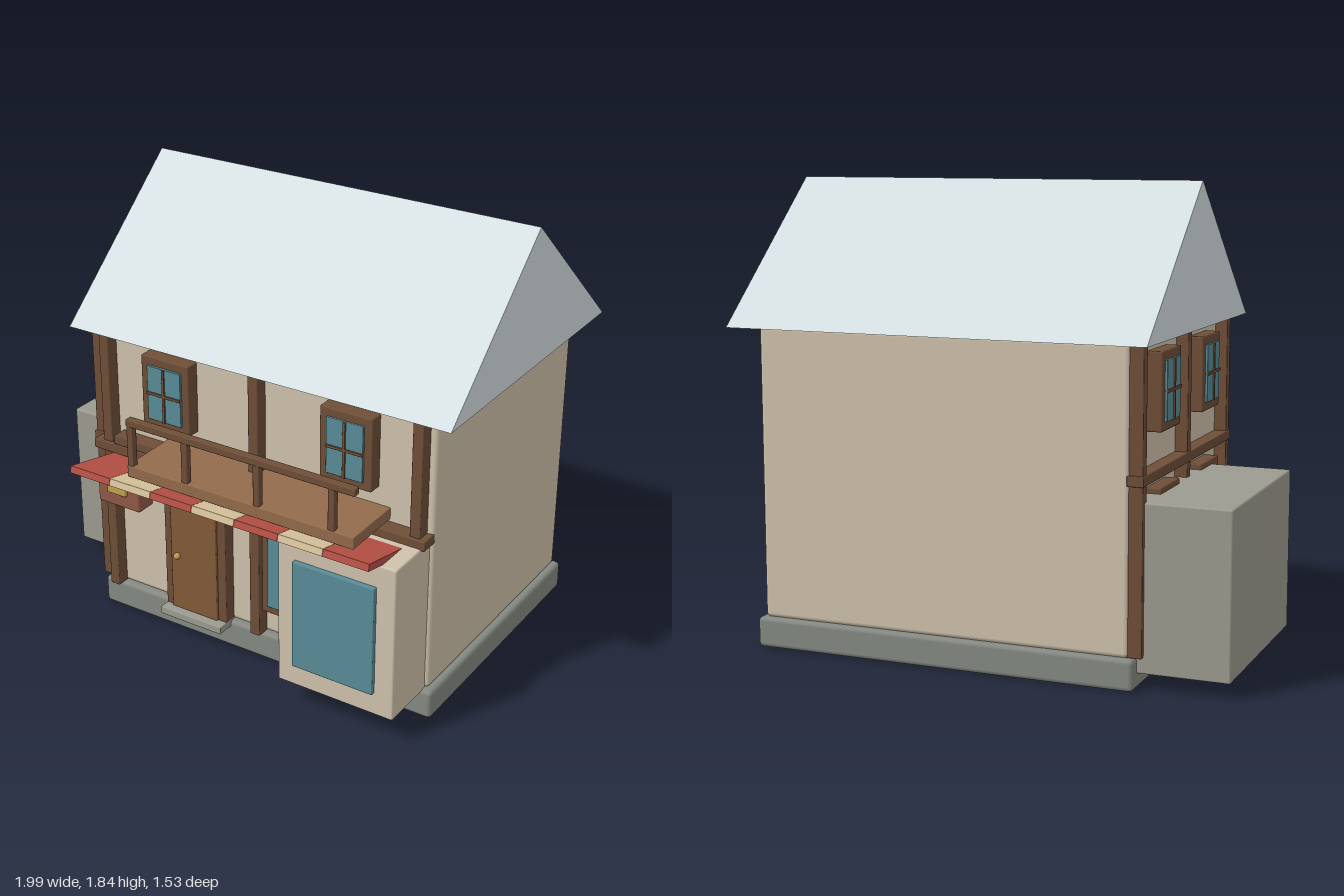
import * as THREE from 'three';
import { RoundedBoxGeometry } from 'three/addons/geometries/RoundedBoxGeometry.js';

const mat = (color) => new THREE.MeshStandardMaterial({ color });
const M = {
  wall: mat(0xcfc2ac), stone: mat(0x858982), block: mat(0x9b9b90), roof: mat(0xd6e0e2),
  timber: mat(0x6e4e38), deck: mat(0x936b4b), door: mat(0x825a38), glass: mat(0x588b97),
  red: mat(0xb75146), cream: mat(0xdac69f), sign: mat(0x8f5947), gold: mat(0xc2a052),
};

export function createModel() {
  const model = new THREE.Group();
  model.name = 'house';

  // box given by its limits on each axis, with softly rounded edges
  function box(name, material, [x0, x1], [y0, y1], [z0, z1], r = 0.004, parent = model) {
    const g = new RoundedBoxGeometry(x1 - x0, y1 - y0, z1 - z0, 2, r);
    const mesh = new THREE.Mesh(g, material);
    mesh.name = name;
    mesh.position.set((x0 + x1) / 2, (y0 + y1) / 2, (z0 + z1) / 2);
    parent.add(mesh);
    return mesh;
  }

  // framed window standing on a wall at local z = 0
  function framedWindow(name, w, h, bars) {
    const g = new THREE.Group();
    g.name = name;
    const gw = w / 2 - 0.033, gh = h / 2 - 0.035;
    box('windowFrame', M.timber, [-w / 2, w / 2], [-h / 2, h / 2], [-0.01, 0.057], 0.006, g);
    box('windowGlass', M.glass, [-gw, gw], [-gh, gh], [0.04, 0.067], 0.003, g);
    if (bars) {
      box('windowBar', M.timber, [-0.006, 0.006], [-gh, gh], [0.05, 0.073], 0.002, g);
      box('windowBar', M.timber, [-gw, gw], [-0.006, 0.006], [0.05, 0.073], 0.002, g);
    }
    model.add(g);
    return g;
  }

  // main masses
  box('foundation', M.stone, [-0.645, 0.925], [0, 0.122], [-0.70, 0.455], 0.018);
  box('walls', M.wall, [-0.62, 0.90], [0.12, 1.28], [-0.68, 0.43], 0.018);
  box('sideBlock', M.block, [-1, -0.61], [0.06, 0.70], [-0.65, 0.175], 0.008);

  // solid gable roof
  const gable = new THREE.Shape([
    new THREE.Vector2(-0.513, 1.278), new THREE.Vector2(0.768, 1.278), new THREE.Vector2(0.125, 1.84),
  ]);
  const roofGeo = new THREE.ExtrudeGeometry(gable, { depth: 1.705, bevelEnabled: false });
  roofGeo.rotateY(Math.PI / 2);
  const roof = new THREE.Mesh(roofGeo, M.roof);
  roof.name = 'roof';
  roof.position.x = -0.713;
  model.add(roof);

  // timber posts and belt beams on the front and the right side
  for (const x of [-0.57, 0.138, 0.848])
    box('frontPost', M.timber, [x - 0.022, x + 0.022], [0.122, 1.279], [0.42, 0.485]);
  for (const z of [-0.65, -0.12, 0.41])
    box('sidePost', M.timber, [-0.67, -0.61], [0.122, 1.279], [z - 0.022, z + 0.022]);
  box('frontBeam', M.timber, [-0.63, 0.897], [0.76, 0.80], [0.42, 0.498]);
  box('sideBeam', M.timber, [-0.675, -0.61], [0.76, 0.80], [-0.68, 0.44]);
  box('frontLedge', M.timber, [-0.53, -0.29], [0.80, 0.838], [0.42, 0.495]);

  // windows
  for (const x of [-0.27, 0.55])
    framedWindow('upperWindow', 0.225, 0.30, true).position.set(x, 1.08, 0.43);
  for (const y of [1.08, 0.572])
    for (const z of [-0.37, 0.14]) {
      const w = framedWindow('sideWindow', 0.225, 0.30, true);
      w.position.set(-0.62, y, z);
      w.rotation.y = -Math.PI / 2;
    }
  framedWindow('lowerWindow', 0.44, 0.465, false).position.set(0.395, 0.483, 0.43);

  // shop bay
  box('bay', M.wall, [0.375, 0.883], [0.113, 0.766], [0.42, 0.675], 0.008);
  box('bayGlass', M.glass, [0.45, 0.803], [0.21, 0.672], [0.66, 0.694]);

  // door with step and knob
  box('doorFrame', M.timber, [-0.297, 0], [0.125, 0.658], [0.42, 0.485]);
  box('door', M.door, [-0.26, -0.038], [0.13, 0.626], [0.46, 0.497]);
  box('doorStep', M.block, [-0.297, 0], [0.096, 0.13], [0.42, 0.53]);
  const knob = new THREE.Mesh(new THREE.SphereGeometry(0.014, 16, 12), M.gold);
  knob.name = 'doorKnob';
  knob.position.set(-0.225, 0.38, 0.505);
  model.add(knob);

  // wall sign with a plain plate
  box('signBoard', M.sign, [-0.602, -0.392], [0.533, 0.708], [0.43, 0.525], 0.012);
  box('signPlate', M.gold, [-0.542, -0.45], [0.597, 0.643], [0.51, 0.54]);

  // striped awning, tilted up towards the front
  const awning = new THREE.Group();
  awning.name = 'awning';
  awning.position.set(0, 0.768, 0.604);
  awning.rotation.x = -0.215;
  model.add(awning);
  const stripe = 1.357 / 7;
  for (let i = 0; i < 7; i++) {
    const x = -0.538 + i * stripe;
    box('awningStripe', i % 2 ? M.cream : M.red, [x, x + stripe], [-0.015, 0.015], [-0.161, 0.161], 0.002, awning);
  }

  // balcony with railing
  box('balconyFloor', M.deck, [-0.305, 0.715], [0.81, 0.86], [0.43, 0.697]);
  box('balconyRail', M.timber, [-0.305, 0.717], [1.027, 1.057], [0.664, 0.697]);
  for (const x of [-0.29, -0.034, 0.292, 0.617])
    box('balconyPost', M.timber, [x - 0.014, x + 0.014], [0.85, 1.035], [0.667, 0.695]);

  return model;
}
